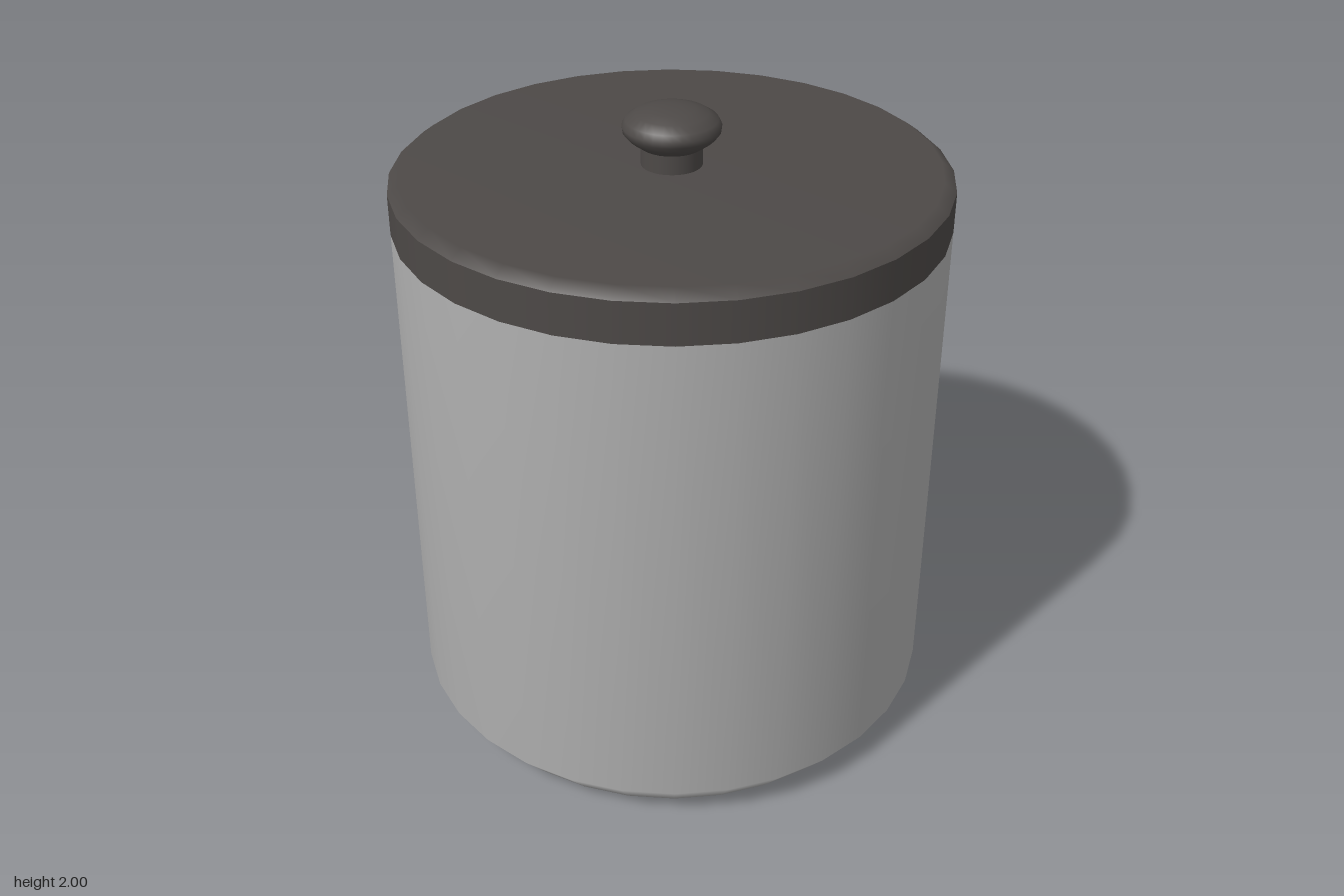
import * as THREE from 'three';

const jarMat = new THREE.MeshStandardMaterial({ color: 0xb0b0b0 });
jarMat.name = 'lightGrey';
const lidMat = new THREE.MeshStandardMaterial({ color: 0x4d4947 });
lidMat.name = 'darkBrownGrey';

// Turned surface from [radius, y] pairs, listed so the outside is to the right of the path
function turned(name, material, profile, sides = 32) {
  const points = profile.map(([r, y]) => new THREE.Vector2(r, y));
  const mesh = new THREE.Mesh(new THREE.LatheGeometry(points, sides), material);
  mesh.name = name;
  return mesh;
}

export function createModel() {
  const model = new THREE.Group();
  model.name = 'lidded jar';

  // Body: recessed base, flat foot ring, sloped lower edge, straight wall
  model.add(turned('jarBody', jarMat, [
    [0, 0.1], [0.5, 0.1], [0.6, 0], [0.742, 0], [0.834, 0.11], [0.834, 1.672],
  ]));

  // Lid: underside, upright skirt and softly bevelled top
  const lid = new THREE.Group();
  lid.name = 'lid';
  lid.add(
    turned('lidUnderside', lidMat, [[0, 1.672], [0.834, 1.672]]),
    turned('lidSkirt', lidMat, [[0.834, 1.672], [0.834, 1.797]]),
    turned('lidTop', lidMat, [[0.834, 1.797], [0.797, 1.825], [0, 1.825]]),
  );

  // Knob: short stem under a flattened round cap
  const knob = new THREE.Group();
  knob.name = 'knob';
  knob.add(
    turned('knobStem', lidMat, [[0.092, 1.82], [0.092, 1.89]]),
    turned('knobCap', lidMat, [
      [0, 1.882], [0.095, 1.884], [0.128, 1.908], [0.145, 1.928], [0.147, 1.945],
      [0.137, 1.964], [0.108, 1.983], [0.07, 1.995], [0.03, 2], [0, 2],
    ]),
  );
  lid.add(knob);
  model.add(lid);

  return model;
}
